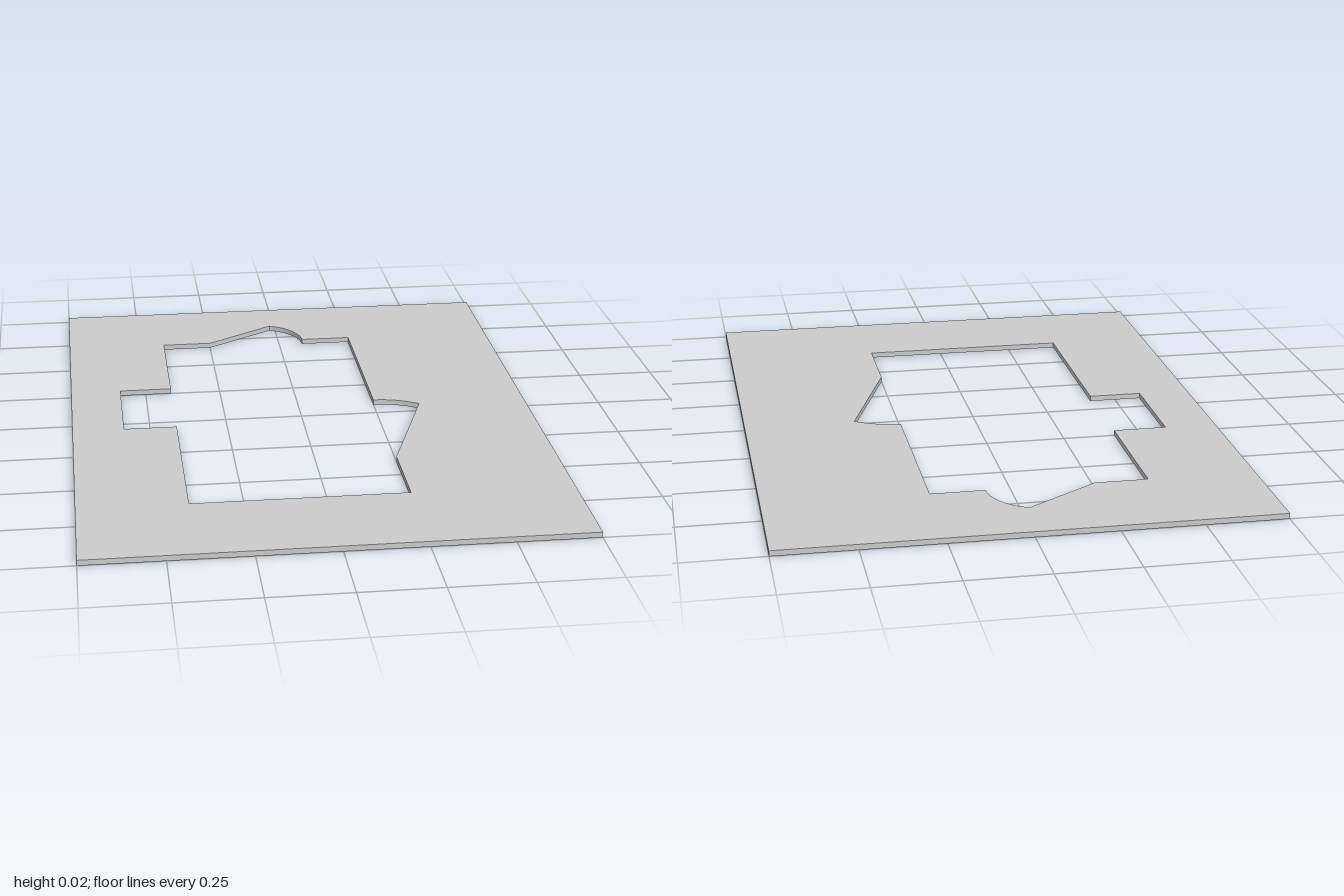
import * as THREE from 'three';

const THICKNESS = 0.017;

// Flat rectangular panel with one irregular cut-out; outlines are drawn in (x, z).
export function createModel() {
  const outline = new THREE.Shape();
  outline.moveTo(-0.75, -1).lineTo(0.75, -1).lineTo(0.75, 1).lineTo(-0.75, 1).closePath();

  const hole = new THREE.Path();
  // left side with its square notch
  hole.moveTo(-0.415, 0.667).lineTo(-0.415, 0.08).lineTo(-0.585, 0.08);
  hole.lineTo(-0.585, -0.25).lineTo(-0.415, -0.25).lineTo(-0.415, -0.672);
  // back side: sloped edge up to a point, then a rounded shoulder
  hole.lineTo(-0.25, -0.672).lineTo(-0.02, -0.825);
  hole.absarc(-0.083, -0.672, 0.165, Math.atan2(-0.153, 0.063), 0, false);
  hole.lineTo(0.25, -0.672).lineTo(0.25, -0.07);
  // right side: curved shoulder to a point, then a sloped edge
  hole.absarc(0.25, 0.165, 0.235, -Math.PI / 2, Math.atan2(-0.185, 0.145), false);
  hole.lineTo(0.25, 0.4).lineTo(0.25, 0.667).closePath();
  outline.holes.push(hole);

  const geometry = new THREE.ExtrudeGeometry(outline, {
    depth: THICKNESS, bevelEnabled: false, curveSegments: 16,
  });
  // lay the panel flat with its underside on the ground
  geometry.rotateX(Math.PI / 2).translate(0, THICKNESS, 0);

  const panel = new THREE.Mesh(geometry, new THREE.MeshStandardMaterial({ color: 0xcccccc }));
  panel.name = 'cutoutPanel';

  const model = new THREE.Group();
  model.name = 'panelWithCutout';
  model.add(panel);
  return model;
}
